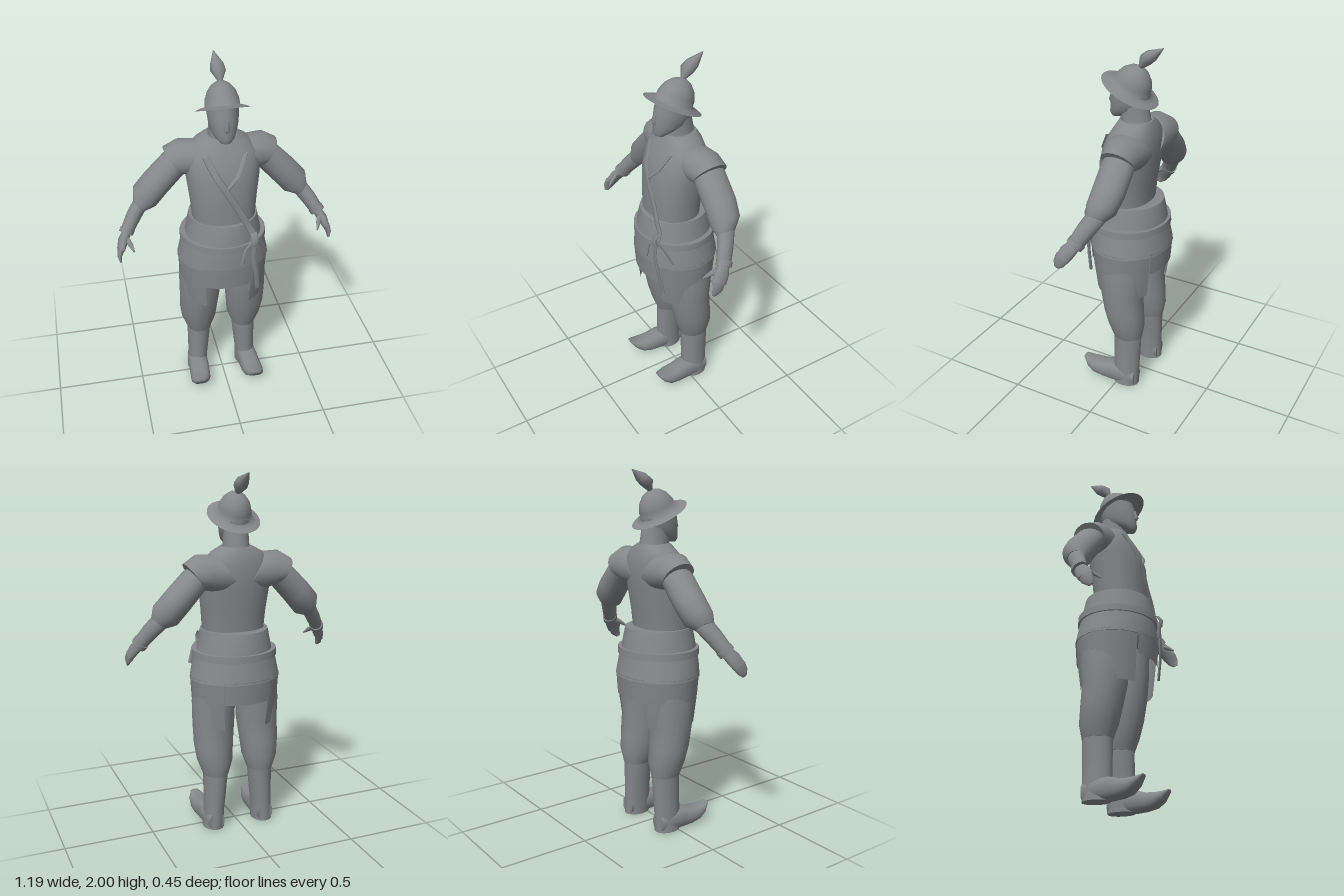
import * as THREE from 'three';

const grey = new THREE.MeshStandardMaterial({ color: 0x85878a, side: THREE.DoubleSide });
grey.name = 'plain grey';

const X = [1, 0, 0], Y = [0, 1, 0], Z = [0, 0, 1];

// Horizontal section of the body: height, half width, front z, back z
const slice = (y, w, front, back) => [0, y, (front + back) / 2, w, (front - back) / 2];

// Skin over oval sections [x, y, z, radiusA, radiusB] lying in the plane of a and b
function loft(rings, { a = X, b = Z, n = 20, side = 1, power = 1, from = 0, to = 360, caps = true } = {}) {
  const flip = v => new THREE.Vector3(v[0] * side, v[1], v[2]);
  const A = flip(a).normalize(), B = flip(b).normalize();
  const open = to - from < 360;
  const centres = rings.map(flip);
  const forward = A.clone().cross(B).dot(centres.at(-1).clone().sub(centres[0])) > 0;
  const pos = [], idx = [];
  const tri = (p, q, r) => (forward ? idx.push(p, q, r) : idx.push(p, r, q));
  const soft = v => Math.sign(v) * Math.abs(v) ** power;
  const cols = open ? n + 1 : n;
  const addRing = i => {
    for (let j = 0; j < cols; j++) {
      const t = THREE.MathUtils.degToRad(from + (to - from) * j / n);
      const p = centres[i].clone()
        .addScaledVector(A, soft(Math.cos(t)) * rings[i][3])
        .addScaledVector(B, soft(Math.sin(t)) * rings[i][4]);
      pos.push(p.x, p.y, p.z);
    }
  };
  rings.forEach((_, i) => addRing(i));
  for (let i = 0; i < rings.length - 1; i++) {
    for (let j = 0; j < n; j++) {
      const k = (j + 1) % cols, p = i * cols, q = p + cols;
      tri(p + j, p + k, q + k);
      tri(p + j, q + k, q + j);
    }
  }
  if (caps && !open) {
    for (const i of [0, rings.length - 1]) {
      const base = pos.length / 3;
      addRing(i);
      pos.push(...centres[i].toArray());
      for (let j = 0; j < n; j++) {
        const k = (j + 1) % n;
        if (i) tri(base + j, base + k, base + n);
        else tri(base + k, base + j, base + n);
      }
    }
  }
  const g = new THREE.BufferGeometry();
  g.setAttribute('position', new THREE.Float32BufferAttribute(pos, 3));
  g.setIndex(idx);
  g.computeVertexNormals();
  return g;
}

export function createModel() {
  const model = new THREE.Group();
  const add = (name, geometry) => {
    const mesh = new THREE.Mesh(geometry, grey);
    mesh.name = name;
    model.add(mesh);
    return mesh;
  };

  // Tunic, neck and head
  add('tunic', loft([
    slice(1.14, 0.172, 0.165, -0.115), slice(1.25, 0.18, 0.165, -0.125),
    slice(1.39, 0.197, 0.155, -0.145), slice(1.47, 0.2, 0.132, -0.147),
    slice(1.53, 0.19, 0.105, -0.143), slice(1.58, 0.14, 0.075, -0.13),
    slice(1.61, 0.085, 0.06, -0.115)], { n: 28, power: 0.9 }));
  add('neck', loft([slice(1.57, 0.08, 0.065, -0.115), slice(1.62, 0.07, 0.06, -0.105),
    slice(1.7, 0.068, 0.06, -0.09)]));
  add('head', loft([
    slice(1.613, 0.03, 0.115, 0.06), slice(1.635, 0.052, 0.125, 0), slice(1.665, 0.07, 0.122, -0.07),
    slice(1.7, 0.077, 0.122, -0.09), slice(1.74, 0.082, 0.115, -0.1), slice(1.8, 0.082, 0.1, -0.1)]));
  add('nose', loft([slice(1.745, 0.008, 0.12, 0.1), slice(1.695, 0.016, 0.138, 0.1),
    slice(1.68, 0.012, 0.126, 0.1)], { n: 8 }));

  // Tilted helmet with a wide brim, and its plume
  const profile = [[0.167, -0.004], [0.14, 0.006], [0.106, 0.014], [0.102, 0.05], [0.085, 0.09],
    [0.055, 0.122], [0.02, 0.139], [0, 0.142]].map(p => new THREE.Vector2(...p));
  const helmet = add('helmet', new THREE.LatheGeometry(profile, 24));
  helmet.position.set(0, 1.763, 0.01);
  helmet.rotation.x = -0.45;
  helmet.scale.x = 0.85;
  add('plume', loft([[0, 1.88, -0.042, 0.008, 0.008], [-0.005, 1.93, -0.075, 0.04, 0.035],
    [-0.005, 1.957, -0.108, 0.034, 0.034], [-0.01, 2, -0.172, 0.002, 0.002]],
  { b: [0, 0.6, 0.75], n: 8 }));

  // Waist sash, belt and upper skirt
  add('sash', loft([slice(1.155, 0.188, 0.19, -0.175), slice(1.09, 0.2, 0.205, -0.19),
    slice(1.02, 0.215, 0.215, -0.2)], { n: 28 }));
  add('belt', loft([slice(1.043, 0.237, 0.222, -0.212), slice(1.005, 0.239, 0.224, -0.214)], { n: 28 }));
  add('upperSkirt', loft([slice(1.03, 0.225, 0.212, -0.2), slice(0.95, 0.242, 0.22, -0.212),
    slice(0.885, 0.255, 0.222, -0.224)], { n: 28 }));

  // Short middle flaps at the front and back
  for (const [name, from] of [['frontFlap', 58], ['backFlap', 238]]) {
    add(name, loft([slice(0.9, 0.255, 0.222, -0.222), slice(0.77, 0.25, 0.213, -0.212)],
      { from, to: from + 64, n: 8 }));
  }

  // Flat ribbons along a path
  const ribbon = (name, points, w) => add(name, loft(
    points.map(p => [...p, w, w * 0.35]), { a: [1, 0.35, 0], n: 8, power: 0.6 }));
  ribbon('longStrap', [[-0.105, 1.535, 0.088], [-0.06, 1.44, 0.14], [-0.015, 1.365, 0.161],
    [0.05, 1.25, 0.163], [0.1, 1.155, 0.172], [0.128, 1.1, 0.172], [0.135, 1.03, 0.195]], 0.019);
  ribbon('shortStrap', [[0.1, 1.535, 0.088], [0.06, 1.44, 0.14], [-0.01, 1.365, 0.161]], 0.019);
  ribbon('innerTail', [[0.13, 1.06, 0.195], [0.085, 1.02, 0.215], [0.065, 0.93, 0.22]], 0.011);
  ribbon('outerTail', [[0.135, 1.06, 0.195], [0.18, 1.02, 0.175], [0.215, 0.935, 0.14]], 0.011);
  ribbon('longTail', [[0.135, 1.06, 0.2], [0.13, 0.95, 0.205], [0.15, 0.84, 0.195],
    [0.165, 0.72, 0.175]], 0.014);
  ribbon('knot', [[0.132, 1.1, 0.19], [0.135, 1.07, 0.212], [0.137, 1.03, 0.205]], 0.02);

  for (const side of [1, -1]) {
    const label = side > 0 ? 'left' : 'right';
    const part = (name, rings, options) => add(label + name, loft(rings, { side, ...options }));
    const across = [0.74, 0.67, 0];

    // Long skirt panel
    part('SkirtPanel', [slice(0.9, 0.253, 0.217, -0.217), slice(0.76, 0.245, 0.202, -0.204),
      slice(0.62, 0.226, 0.186, -0.186)], { from: -58, to: 58, n: 14 });

    // Shoulder cap and puffed sleeve
    part('ShoulderCap', [[0.07, 1.47, -0.035, 0.125, 0.115], [0.16, 1.47, -0.045, 0.13, 0.11],
      [0.255, 1.462, -0.055, 0.087, 0.094]], { a: [0.55, 0.8, 0] });
    part('Sleeve', [[0.2, 1.47, -0.055, 0.075, 0.085], [0.25, 1.443, -0.055, 0.076, 0.088],
      [0.35, 1.337, -0.055, 0.08, 0.088], [0.412, 1.267, -0.047, 0.081, 0.08],
      [0.447, 1.224, -0.03, 0.045, 0.052]], { a: across });

    // Forearm, cuff, hand and fingers
    const palm = { a: [0.8, 0.55, 0.15], b: [-0.25, 0.4, 0.9], n: 12 };
    part('Forearm', [[0.43, 1.245, -0.04, 0.045, 0.05], [0.485, 1.175, 0, 0.043, 0.046],
      [0.535, 1.1, 0.04, 0.036, 0.04]], palm);
    part('Cuff', [[0.522, 1.12, 0.027, 0.042, 0.046], [0.536, 1.098, 0.041, 0.041, 0.045]], palm);
    part('Hand', [[0.53, 1.105, 0.038, 0.026, 0.034], [0.555, 1.07, 0.065, 0.027, 0.043],
      [0.572, 1.03, 0.092, 0.02, 0.042]], palm);
    part('Fingers', [[0.57, 1.035, 0.09, 0.02, 0.041], [0.583, 1, 0.108, 0.012, 0.033],
      [0.58, 0.972, 0.125, 0.005, 0.013]], { ...palm, a: [1, 0.2, 0], b: [0, 0.4, 0.9] });
    part('Thumb', [[0.538, 1.09, 0.07, 0.016, 0.016], [0.522, 1.07, 0.108, 0.014, 0.014],
      [0.506, 1.043, 0.143, 0.005, 0.005]], { b: Y, n: 8 });

    // Trouser leg gathered below the knee, boot shaft and curled shoe
    part('TrouserLeg', [[0.125, 0.9, -0.01, 0.11, 0.14], [0.13, 0.75, -0.01, 0.12, 0.135],
      [0.132, 0.62, -0.01, 0.117, 0.122], [0.138, 0.5, -0.025, 0.11, 0.113],
      [0.136, 0.41, -0.04, 0.1, 0.105], [0.135, 0.33, -0.047, 0.072, 0.084]]);
    part('BootShaft', [[0.135, 0.345, -0.047, 0.07, 0.082], [0.14, 0.22, -0.045, 0.063, 0.08],
      [0.146, 0.11, -0.043, 0.057, 0.079], [0.15, 0.005, -0.043, 0.06, 0.078]]);
    part('Shoe', [[0.15, 0.055, -0.11, 0.045, 0.048], [0.152, 0.06, -0.04, 0.058, 0.058],
      [0.154, 0.062, 0.035, 0.06, 0.06], [0.158, 0.056, 0.1, 0.06, 0.048],
      [0.163, 0.062, 0.15, 0.058, 0.04], [0.168, 0.08, 0.19, 0.045, 0.026],
      [0.17, 0.108, 0.222, 0.022, 0.006]], { b: Y, n: 14, power: 0.75 });
  }
  return model;
}
